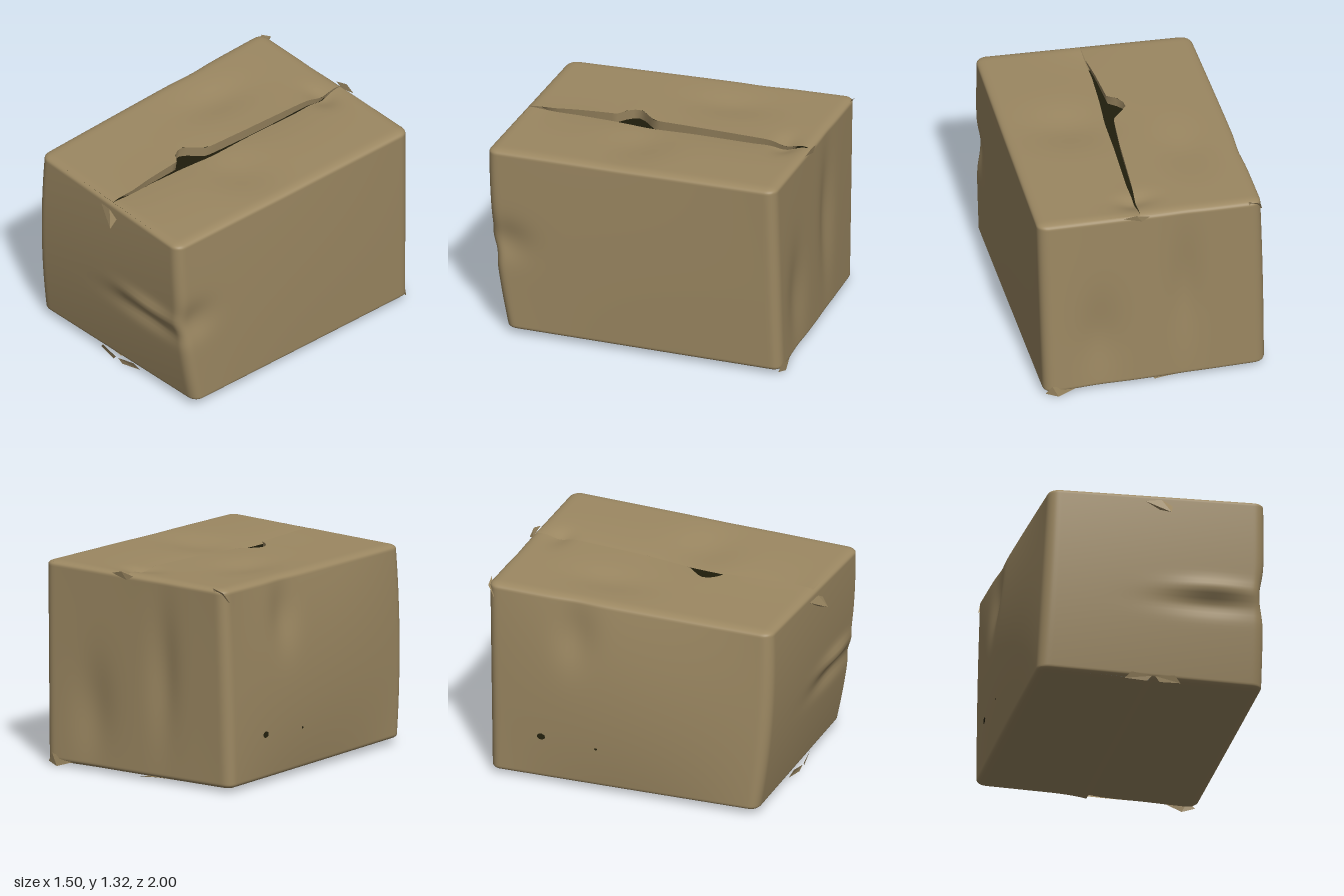
import * as THREE from 'three';
import { mergeGeometries, mergeVertices } from 'three/addons/utils/BufferGeometryUtils.js';

const N = 64;
const { lerp, clamp } = THREE.MathUtils;
const radius = [0.1, 0.045, 0.07];

// Crooked carton corners, indexed by [top][front][+x side]
const corners = [
  [[[-0.72, 0.02, -0.97], [0.71, 0.02, -0.98]], [[-0.735, 0.03, 0.82], [0.71, 0.03, 0.84]]],
  [[[-0.69, 1.31, -1.0], [0.745, 1.31, -0.95]], [[-0.675, 1.26, 0.89], [0.69, 1.265, 0.98]]],
];

// Dents and bulges: axis, amount, centre, spread
const dents = [
  [2, 0.03, [0.38, 0.65, 0.95], [0.24, 0.05, 0.2]],     // front crease, upper lip
  [2, -0.025, [0.35, 0.54, 0.93], [0.3, 0.06, 0.2]],    // front crease, hollow
  [2, 0.03, [-0.2, 0.7, -0.98], [0.1, 0.4, 0.2]],       // back hollows
  [2, 0.03, [0.35, 0.4, -0.98], [0.14, 0.3, 0.2]],
  [0, -0.03, [0.72, 0.65, 0.85], [0.15, 0.12, 0.15]],   // side hollows
  [0, 0.03, [-0.72, 1.05, -0.4], [0.15, 0.2, 0.12]],
  [1, -0.025, [0.3, 1.29, 0.1], [0.25, 0.2, 0.2]],      // top hollows
  [1, -0.02, [-0.35, 1.29, -0.3], [0.15, 0.2, 0.25]],
  [1, -0.025, [0.05, 1.29, -0.8], [0.12, 0.2, 0.07]],
  [1, 0.02, [0.35, 0.02, 0.3], [0.15, 0.15, 0.25]],     // underside
];

// Top slit: z, x of the left edge, x of the right edge
const slit = [
  [-0.85, 0.07, 0.07], [-0.6, 0.052, 0.078], [-0.2, 0.028, 0.062], [0.1, 0, 0.055],
  [0.17, -0.07, 0.05], [0.22, -0.11, 0.045], [0.29, -0.09, 0.04], [0.34, -0.01, 0.036],
  [0.6, 0.01, 0.024], [0.75, 0.03, 0.03], [1, 0.03, 0.03],
];
function slitX(z, column) {
  const i = clamp(slit.findIndex((row) => row[0] > z), 1, slit.length - 1);
  const a = slit[i - 1], b = slit[i];
  return lerp(a[column], b[column], clamp((z - a[0]) / (b[0] - a[0]), 0, 1));
}

// Maps a point of the cube [-1, 1] to the rounded, crumpled carton
function crumple(cube) {
  const core = cube.map((v, i) => clamp(v, radius[i] - 1, 1 - radius[i]));
  const off = new THREE.Vector3(...cube.map((v, i) => (v - core[i]) / radius[i])).normalize();
  const [u, v, w] = off.toArray().map((d, i) => core[i] + d * radius[i]);
  const [a, b, c] = [u, v, w].map((t) => (t + 1) / 2);
  const p = [0, 1, 2].map((k) => {
    const row = (y, z) => lerp(corners[y][z][0][k], corners[y][z][1][k], a);
    return lerp(lerp(row(0, 0), row(0, 1), c), lerp(row(1, 0), row(1, 1), c), b);
  });
  p[0] += (u < 0 ? -0.05 : 0.01) * u * u * (1 - v * v) * (1 - w * w);
  if (w > 0) p[2] += 0.035 * w * w * (1 - v * v);
  const q = [...p];
  for (const [axis, amount, centre, spread] of dents) {
    const d = centre.reduce((s, m, i) => s + ((p[i] - m) / spread[i]) ** 2, 0);
    q[axis] += amount * Math.exp(-d);
  }
  return q;
}

// Half of the top or bottom; k runs from the middle seam to the outer edge
function flapPoint(level, side, w, k) {
  const p = crumple([side * k, level, w]);
  const near = (1 - k) ** 3;
  if (level > 0) {
    p[0] += near * (slitX(p[2], side < 0 ? 1 : 2) - 0.01);
    p[1] += (side < 0 ? 0.008 : -0.025) * near * (1 - w ** 6);
  } else {
    p[1] += (side < 0 ? -0.016 : 0.015) * (1 - k) ** 8;
  }
  return p;
}

// Grid surface from a rule of two parameters in 0..1
function sheet(point, nu, nv, flip = false) {
  const pos = [], index = [];
  for (let j = 0; j <= nv; j++) for (let i = 0; i <= nu; i++) pos.push(...point(i / nu, j / nv));
  for (let j = 0; j < nv; j++) for (let i = 0; i < nu; i++) {
    const a = j * (nu + 1) + i, b = a + 1, d = a + nu + 1, c = d + 1;
    index.push(...(flip ? [a, c, b, a, d, c] : [a, b, c, a, c, d]));
  }
  const g = new THREE.BufferGeometry();
  g.setAttribute('position', new THREE.Float32BufferAttribute(pos, 3));
  g.setIndex(index);
  g.computeVertexNormals();
  return g;
}
const ease = (t) => -Math.cos(Math.PI * t); // denser towards the edges

export function createModel() {
  const group = new THREE.Group();
  const cardboard = new THREE.MeshStandardMaterial({ color: 0x9c8862, side: THREE.DoubleSide });
  cardboard.name = 'cardboard';
  const dark = new THREE.MeshStandardMaterial({ color: 0x25220f });
  dark.name = 'darkInterior';
  const add = (name, geometry, material = cardboard) => {
    const mesh = new THREE.Mesh(geometry, material);
    mesh.name = name;
    group.add(mesh);
    return mesh;
  };

  // Four walls, welded so the corners shade smoothly
  const walls = [[0, 1], [0, -1], [2, 1], [2, -1]].map(([axis, sign]) => {
    const g = sheet((s, t) => {
      const cube = [];
      cube[axis] = sign;
      cube[(axis + 1) % 3] = ease(s);
      cube[(axis + 2) % 3] = ease(t);
      return crumple(cube);
    }, N, N, sign < 0);
    g.deleteAttribute('normal');
    return g;
  });
  const body = mergeVertices(mergeGeometries(walls), 1e-5);
  body.computeVertexNormals();
  add('walls', body);

  // Top and bottom flaps
  for (const level of [1, -1]) for (const side of [1, -1]) {
    const name = (side > 0 ? 'left' : 'right') + (level > 0 ? 'TopFlap' : 'BottomFlap');
    add(name, sheet((s, t) => flapPoint(level, side, ease(s), (ease(t) + 1) / 2),
      N, 32, level * side < 0));
  }

  // Bent edge hanging into the slit
  add('slitLip', sheet((s, t) => {
    const [x, y, z] = flapPoint(1, -1, ease(s) * 0.9, 0);
    return [x - 0.01 * t, y - 0.07 * t * (1 - (2 * s - 1) ** 2), z];
  }, N, 2));

  // Inward-facing dark lining
  const lining = new THREE.BoxGeometry(1.3, 1.1, 1.64);
  lining.index.array.reverse();
  lining.computeVertexNormals();
  add('interior', lining, dark).position.set(0, 0.65, -0.08);

  // Loose folds and torn corners, each a small fan around its first point
  const scrap = (name, points) => {
    const pos = [];
    for (let i = 1; i < points.length - 1; i++) pos.push(...points[0], ...points[i], ...points[i + 1]);
    const g = new THREE.BufferGeometry();
    g.setAttribute('position', new THREE.Float32BufferAttribute(pos, 3));
    g.computeVertexNormals();
    add(name, g);
  };
  scrap('frontFold', [[0.085, 1.12, 0.995], [0.1, 1.18, 0.955], [0.03, 1.22, 0.95], [-0.07, 1.21, 0.93], [0.02, 1.15, 0.95]]);
  for (const s of [-1, 1]) {
    scrap('frontSeamTab', [[s * 0.01, 0.038, 0.86], [s * 0.04, 0.005, 0.85], [s * 0.18, 0.02, 0.83], [s * 0.14, 0.06, 0.85]]);
  }
  scrap('backSeamTab', [[0.12, 1.322, -0.985], [0.2, 1.3, -0.97], [0.08, 1.27, -0.98], [0.03, 1.3, -0.98]]);
  scrap('backCornerTab', [[-0.6, 1.315, -1], [-0.68, 1.29, -0.995], [-0.7, 1.22, -0.95], [-0.62, 1.26, -0.99]]);
  scrap('backBottomTab', [[0.62, 0, -0.985], [0.7, 0.02, -0.96], [0.66, 0.08, -0.98], [0.5, 0.04, -0.97]]);

  // Small punctures in the right wall
  for (const [y, z, r] of [[0.32, -0.62, 0.028], [0.3, -0.25, 0.01]]) {
    const hole = add('puncture', new THREE.CircleGeometry(r, 9), dark);
    hole.position.set(crumple([-1, 2 * y / 1.3 - 1, z / 0.95])[0] - 0.005, y, z);
    hole.rotation.y = -Math.PI / 2;
    hole.scale.y = 0.75;
  }
  return group;
}
